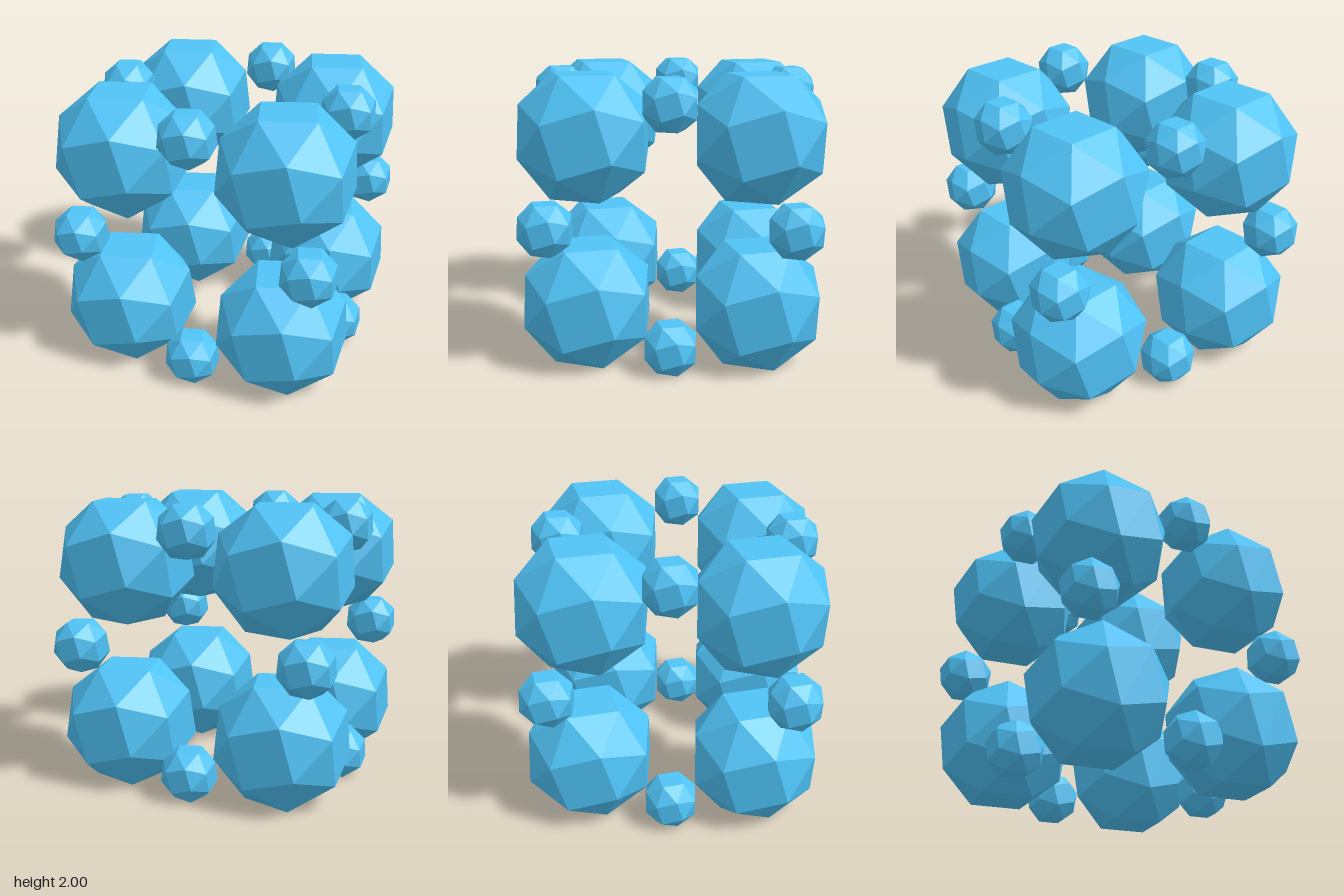
import * as THREE from 'three';
import { ConvexGeometry } from 'three/addons/geometries/ConvexGeometry.js';

// Snub cube whose square faces lie at distance r from its centre
function snubCube(r) {
  const t = 1.839287, points = [];
  for (const sx of [-1, 1]) for (const sy of [-1, 1]) for (const sz of [-1, 1]) {
    const even = sx * sy * sz < 0; // an even number of plus signs
    const [a, b, c] = even ? [1, 1 / t, t] : [1 / t, 1, t];
    for (const [x, y, z] of [[a, b, c], [b, c, a], [c, a, b]]) {
      points.push(new THREE.Vector3(x * sx, y * sy, z * sz).multiplyScalar(r / t));
    }
  }
  return new ConvexGeometry(points);
}

export function createModel() {
  const group = new THREE.Group();
  group.name = 'snubCubeCluster';
  const material = new THREE.MeshStandardMaterial({ color: 0x4fc3f7, flatShading: true });

  // Each small solid is smaller than a large one by the same ratio as large to whole
  const largeR = Math.SQRT2 - 1, smallR = largeR * largeR;
  const large = snubCube(largeR), small = snubCube(smallR);

  // Large solids on the eight corners, small ones on the twelve edge midpoints
  for (const x of [-1, 0, 1]) for (const y of [-1, 0, 1]) for (const z of [-1, 0, 1]) {
    const axes = Math.abs(x) + Math.abs(y) + Math.abs(z);
    if (axes < 2) continue;
    const corner = axes === 3;
    const offset = 1 - (corner ? largeR : smallR);
    const mesh = new THREE.Mesh(corner ? large : small, material);
    mesh.name = corner ? 'cornerSnubCube' : 'edgeSnubCube';
    mesh.position.set(x * offset, 1 + y * offset, z * offset);
    group.add(mesh);
  }
  return group;
}
